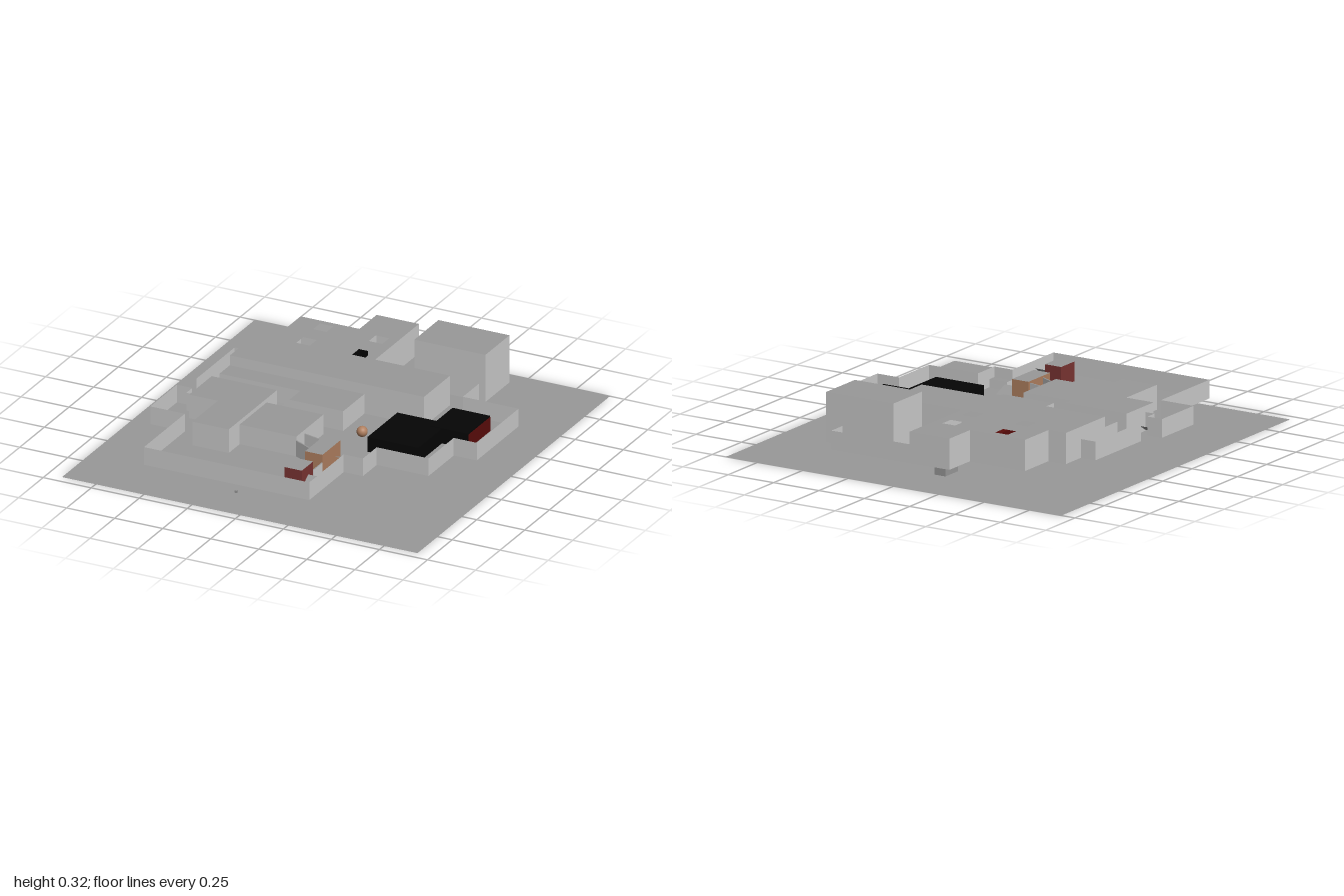
import * as THREE from 'three';

const FLOOR = 0.08, WALL = 0.17;
const makeMat = (color) => new THREE.MeshStandardMaterial({ color, side: THREE.DoubleSide });
const grey = makeMat(0xcccccc), dim = makeMat(0x999999), black = makeMat(0x050505);
const darkRed = makeMat(0x5a0c0a), red = makeMat(0x7a3432), brown = makeMat(0xb08060);

// Plan outlines are [x, z] pairs
const shapeOf = (pts) => new THREE.Shape(pts.map(([x, z]) => new THREE.Vector2(x, -z)));
const rect = (x0, x1, z0, z1) => [[x0, z0], [x0, z1], [x1, z1], [x1, z0]];

export function createModel() {
  const model = new THREE.Group();

  function add(name, geometry, material) {
    const mesh = new THREE.Mesh(geometry, material);
    mesh.name = name;
    model.add(mesh);
  }
  // Flat surface at a height, optionally with holes
  function slab(name, pts, y, holes = []) {
    const shape = shapeOf(pts);
    holes.forEach((h) => shape.holes.push(shapeOf(h)));
    add(name, new THREE.ShapeGeometry(shape).rotateX(-Math.PI / 2).translate(0, y, 0), dim);
  }
  // Solid block with its own roof and side materials
  function block(name, pts, top, sides = grey, roof = dim, y = FLOOR) {
    const geo = new THREE.ExtrudeGeometry(shapeOf(pts), { depth: top - y, bevelEnabled: false });
    add(name, geo.rotateX(-Math.PI / 2).translate(0, y, 0), [roof, sides]);
  }
  // Thin upright walls along a path
  function walls(name, path, top, material = grey) {
    const group = new THREE.Group();
    group.name = name;
    for (let i = 0; i + 1 < path.length; i++) {
      const [x0, z0] = path[i], [x1, z1] = path[i + 1];
      const panel = new THREE.Mesh(new THREE.PlaneGeometry(Math.hypot(x1 - x0, z1 - z0), top - FLOOR), material);
      panel.position.set((x0 + x1) / 2, (top + FLOOR) / 2, (z0 + z1) / 2);
      panel.rotation.y = -Math.atan2(z1 - z0, x1 - x0);
      panel.name = 'wallPanel';
      group.add(panel);
    }
    model.add(group);
  }
  // Sloping surface between a back height and a front height
  function ramp(name, x0, x1, z0, z1, yBack, yFront) {
    const geo = new THREE.PlaneGeometry(x1 - x0, z1 - z0).rotateX(-Math.PI / 2);
    const p = geo.attributes.position;
    for (let i = 0; i < p.count; i++) p.setY(i, p.getZ(i) < 0 ? yBack : yFront);
    geo.translate((x0 + x1) / 2, 0, (z0 + z1) / 2);
    geo.computeVertexNormals();
    add(name, geo, dim);
  }

  // Ground sheet
  slab('ground', rect(-0.925, 0.925, -1, 0.955), 0);

  // Compound perimeter, from the west door round the front to the tower
  const frontRun = [[-0.75, 0.13], [-0.75, 0.4], [-0.57, 0.4], [-0.57, 0.815], [0.29, 0.815],
    [0.29, 0.465], [0.39, 0.465], [0.39, 0.325], [0.66, 0.325], [0.66, 0.07], [0.78, 0.07],
    [0.78, -0.355], [0.49, -0.355], [0.49, -0.52]];
  const backRun = [[0.43, -0.77], [0.43, -0.865], [0, -0.865]];
  const westRun = [[-0.62, -0.36], [-0.7, -0.36], [-0.7, 0.03]];
  const hallBack = [[0, -0.865], [-0.22, -0.865], [-0.22, -0.69], [-0.525, -0.69], [-0.525, -0.49], [-0.62, -0.49]];
  walls('frontPerimeterWall', frontRun, WALL);
  walls('backPerimeterWall', backRun, WALL);
  walls('westPerimeterWall', westRun, WALL);
  walls('westDoorWall', [[-0.75, 0.13], [-0.67, 0.13], [-0.67, 0.19], [-0.62, 0.19]], WALL);
  slab('yardFloor', [...frontRun, [0.43, -0.52], ...backRun, ...hallBack.slice(1), ...westRun, [-0.7, 0.13]], FLOOR);

  // Door plates outside the walls
  slab('westDoorPlate', rect(-0.825, -0.7, 0.025, 0.125), FLOOR);
  slab('frontPlate', rect(-0.095, 0.035, 0.865, 1), 0.085);
  add('frontMarker', new THREE.BoxGeometry(0.012, 0.012, 0.012).translate(-0.03, 0.105, 0.93), dim);

  // Main hall: walls and a roof with four skylights
  const hall = [...hallBack, [-0.62, -0.155], [0.39, -0.155], [0.39, -0.42], [0, -0.42]];
  const skylights = [];
  for (const x of [-0.41, -0.12]) for (const z of [-0.66, -0.49]) skylights.push(rect(x, x + 0.07, z, z + 0.07));
  walls('hallWall', [...hall, hall[0]], 0.23);
  slab('hallRoof', hall, 0.23, skylights);
  block('hallPartitionWest', rect(-0.33, -0.25, -0.62, -0.46), 0.21, darkRed, darkRed);
  block('hallPartitionEast', rect(-0.25, -0.14, -0.62, -0.46), 0.21, black, black);

  // Cellar hanging below the floor
  block('cellar', rect(-0.15, -0.09, -0.79, -0.68), FLOOR - 0.001, dim, dim, 0.02);

  // Tower and low buildings
  block('tower', rect(0.15, 0.52, -0.77, -0.525), 0.32);
  block('lowGallery', [[-0.62, -0.154], [-0.62, -0.05], [-0.2, -0.05], [-0.2, 0.06], [0.08, 0.06], [0.08, -0.154]], 0.18);
  block('westBuilding', [[-0.62, 0.03], [-0.62, 0.26], [-0.47, 0.26], [-0.47, 0.52], [-0.28, 0.52], [-0.28, 0.03]], 0.2);
  block('middleBuilding', rect(-0.28, 0.015, 0.135, 0.41), 0.18);

  // Dark sheds on the east side, one with a red end
  block('darkShed', rect(0.285, 0.55, -0.09, 0.215), 0.155, black, black);
  block('redEndShed', rect(0.49, 0.685, -0.25, -0.025), 0.157, black, black);
  walls('redShedEnd', [[0.687, -0.25], [0.687, -0.025]], 0.153, darkRed);

  // Front booths, the passage to them and the gate step
  block('brownBooth', rect(0.115, 0.205, 0.33, 0.515), 0.17, brown);
  block('redBooth', rect(0.115, 0.205, 0.61, 0.725), 0.175, red);
  block('boothLinkWall', rect(0.2, 0.206, 0.515, 0.61), 0.13);
  for (const [name, z0, z1] of [['passageWallBack', 0.32, 0.345], ['passageWallFront', 0.405, 0.455]]) {
    block(name, [[0.015, z0], [0.015, z0 + 0.007], [0.115, z1 + 0.007], [0.115, z1]], 0.16);
  }
  block('gateStep', rect(0.292, 0.388, 0.42, 0.463), 0.12);

  // Ramps
  ramp('westRampBack', -0.7, -0.62, -0.14, -0.07, FLOOR + 0.005, 0.11);
  ramp('westRampFront', -0.67, -0.62, 0.14, 0.19, 0.115, FLOOR + 0.005);
  ramp('galleryRamp', -0.36, -0.28, -0.05, 0.03, 0.1, FLOOR + 0.005);
  ramp('eastRamp', 0.205, 0.29, 0.325, 0.4, FLOOR + 0.005, 0.115);
  ramp('boothRamp', 0.205, 0.29, 0.66, 0.725, 0.13, FLOOR + 0.005);

  // Ball in the yard
  add('ball', new THREE.SphereGeometry(0.026, 24, 16).translate(0.19, 0.11, 0.083), brown);

  return model;
}
